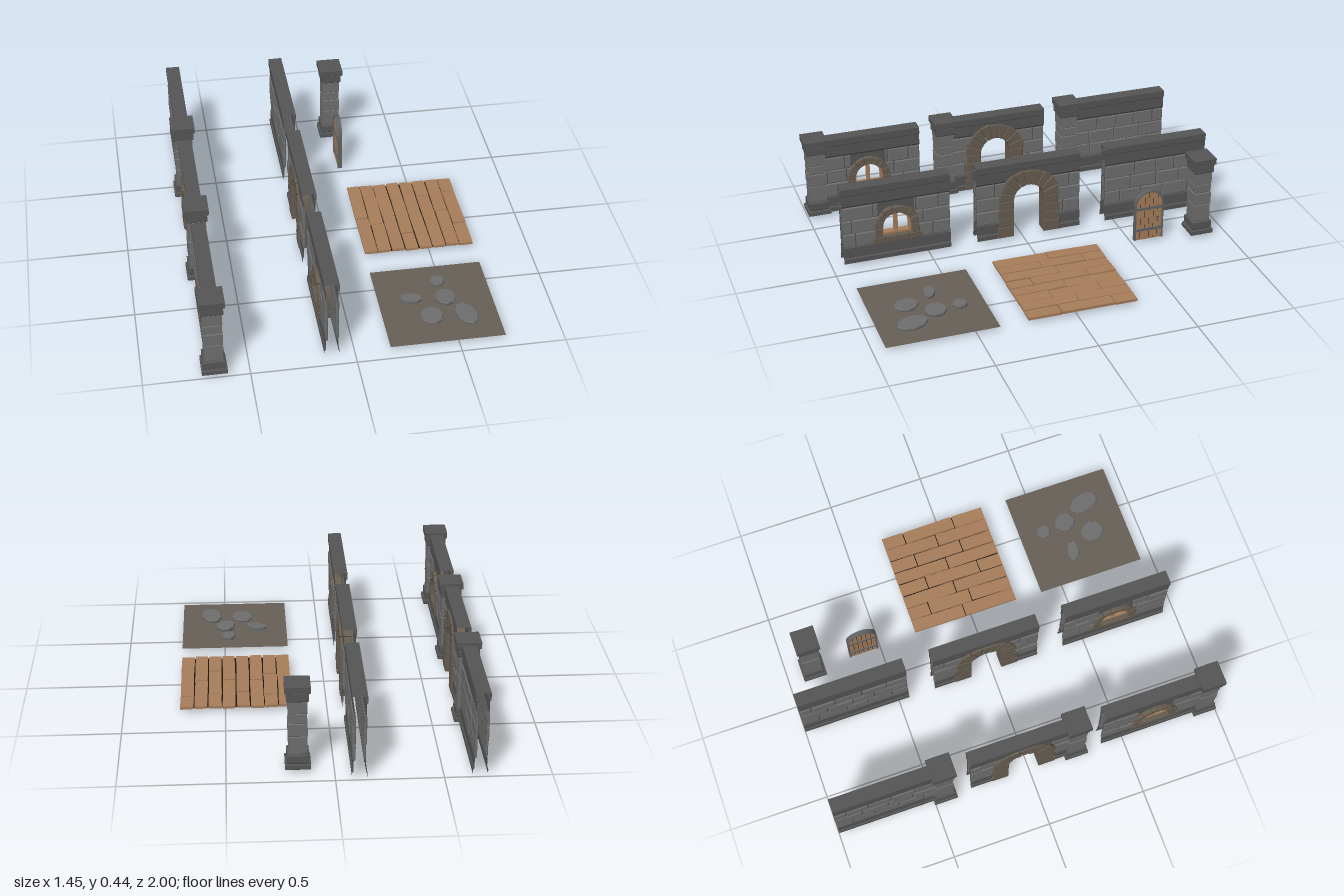
import * as THREE from 'three';

const mat = (color, side = THREE.FrontSide) => new THREE.MeshStandardMaterial({ color, flatShading: true, side });
const BRICK = mat(0x6e6e6e), TRIM = mat(0x555555, THREE.DoubleSide), EARTH = mat(0x665f57, THREE.DoubleSide);
const ARCH = mat(0x665c50), WOOD = mat(0xa67d5a), DARK = mat(0x1c150f, THREE.DoubleSide), IRON = mat(0x606366);
const L = 0.2775, CORE = 0.024; // half wall length, half core thickness

let seed = 7;
const rnd = (a, b) => {
  seed = (seed * 16807) % 2147483647;
  return a + (b - a) * seed / 2147483647;
};

function add(parent, name, geo, material, x = 0, y = 0, z = 0) {
  const m = new THREE.Mesh(geo, material);
  m.name = name;
  m.position.set(x, y, z);
  parent.add(m);
  return m;
}

const box = (parent, name, material, w, h, d, x, y, z) =>
  add(parent, name, new THREE.BoxGeometry(w, h, d), material, x, y, z);

const polygon = pts => new THREE.Shape(pts.map(p => new THREE.Vector2(...p)));

// Extrude a (-z, y) outline so that its thickness runs along x, centred
function slab(shape, depth, bevel = 0) {
  const g = new THREE.ExtrudeGeometry(shape, {
    depth: depth - 2 * bevel, curveSegments: 8, bevelEnabled: bevel > 0,
    bevelSize: bevel, bevelThickness: bevel, bevelOffset: -bevel, bevelSegments: 1
  });
  return g.translate(0, 0, bevel - depth / 2).rotateY(Math.PI / 2);
}

const rect = (w, h) => polygon([[-w / 2, -h / 2], [w / 2, -h / 2], [w / 2, h / 2], [-w / 2, h / 2]]);

// Open-ended strip: an (x, y) profile swept from z0 to z1
function sweep(profile, z0, z1) {
  const pos = [];
  for (let i = 0; i + 1 < profile.length; i++) {
    const [a, b] = [profile[i], profile[i + 1]];
    pos.push(...a, z0, ...b, z1, ...b, z0, ...a, z0, ...a, z1, ...b, z1);
  }
  const g = new THREE.BufferGeometry();
  g.setAttribute('position', new THREE.Float32BufferAttribute(pos, 3));
  g.computeVertexNormals();
  return g;
}

// Wedge stones set around a half circle
function archStones(parent, r0, r1, yc, n, depth) {
  for (let i = 0; i < n; i++) {
    const a = (i + 0.03) / n * Math.PI, b = (i + 0.97) / n * Math.PI, R = r1 + rnd(-0.004, 0.004);
    const at = (r, t) => [r * Math.cos(t), yc + r * Math.sin(t)];
    const s = polygon([at(r0, a), at(R, a), at(R, (a + b) / 2), at(R, b), at(r0, b), at(r0, (a + b) / 2)]);
    add(parent, 'archStone', slab(s, depth + rnd(-0.006, 0.002), 0.003), ARCH);
  }
}

// Arched outline: straight sides from y0, half circle above yc
function archOutline(path, r, yc, y0) {
  path.moveTo(-r, y0).lineTo(-r, yc).absarc(0, yc, r, Math.PI, 0, true).lineTo(r, y0);
  return path;
}

function archedFrame(r0, r1, yc, y0, depth) {
  const s = archOutline(new THREE.Shape(), r1, yc, y0);
  s.lineTo(r0, y0).lineTo(r0, yc).absarc(0, yc, r0, 0, Math.PI, false).lineTo(-r0, y0);
  return slab(s, depth);
}

function windowParts(wall) {
  const g = new THREE.Group();
  g.name = 'window';
  archStones(g, 0.076, 0.115, 0.185, 7, 0.08);
  for (const s of [-1, 1]) add(g, 'jambStone', slab(rect(0.038, 0.05), 0.078, 0.003), ARCH, 0, 0.16, s * 0.096);
  for (let i = -1.5; i < 2; i++) add(g, 'sillStone', slab(rect(0.061, 0.034), 0.08, 0.003), ARCH, 0, 0.121, i * 0.0625);
  add(g, 'windowFrame', archedFrame(0.066, 0.078, 0.185, 0.137, 0.034), WOOD);
  box(g, 'windowFrameBottom', WOOD, 0.034, 0.012, 0.14, 0, 0.143, 0);
  for (const s of [-1, 1]) box(g, 'mullion', WOOD, 0.03, 0.11, 0.007, 0, 0.197, s * 0.005);
  wall.add(g);
}

function archwayParts(wall) {
  const g = new THREE.Group();
  g.name = 'archway';
  archStones(g, 0.08, 0.162, 0.22, 9, 0.08);
  const ys = [0.015, 0.075, 0.125, 0.175, 0.22];
  for (const s of [-1, 1]) for (let i = 0; i < 4; i++) {
    const h = ys[i + 1] - ys[i], w = 0.082 + (i % 2 ? -0.006 : 0.004);
    add(g, 'jambStone', slab(rect(w, h), 0.08 - rnd(0, 0.004), 0.003), ARCH, 0, ys[i] + h / 2, s * (0.08 + w / 2));
  }
  wall.add(g);
}

function makeWall(kind, x, z) {
  const wall = new THREE.Group();
  wall.name = kind + 'Wall';
  wall.position.set(x, 0, z);
  const mirror = p => p.map(([a, b]) => [-a, b]).reverse();

  // Coping along the top, footing along the bottom
  const coping = [[0.035, 0.43], [0.035, 0.395], [0.029, 0.39], [0.029, 0.335], [CORE, 0.325]];
  const footing = [[CORE, 0.105], [0.029, 0.098], [0.029, 0.045], [0.035, 0.038], [0.035, 0.015]];
  add(wall, 'coping', sweep([...mirror(coping), ...coping], -L, L), TRIM);
  const spans = kind === 'arch' ? [[-L, -0.1], [0.1, L]] : [[-L, L]];
  for (const [a, b] of spans) for (const p of [footing, mirror(footing)])
    add(wall, 'footing', sweep(p, a, b), TRIM);

  // Core faces, cut out around any opening
  let face = polygon([[-L, 0.095], [L, 0.095], [L, 0.33], [-L, 0.33]]);
  if (kind === 'window') face.holes.push(archOutline(new THREE.Path(), 0.085, 0.185, 0.12));
  if (kind === 'arch') {
    face = new THREE.Shape().moveTo(-L, 0.33).lineTo(-L, 0.095).lineTo(-0.1, 0.095).lineTo(-0.1, 0.22);
    face.absarc(0, 0.22, 0.1, Math.PI, 0, true).lineTo(0.1, 0.095).lineTo(L, 0.095).lineTo(L, 0.33);
  }
  const half = kind === 'arch' ? 0.1 : 0.09;
  for (const s of [-1, 1]) {
    add(wall, 'wallFace', new THREE.ShapeGeometry(face, 8).rotateY(s * Math.PI / 2), TRIM, s * (CORE - 0.004));

    // Staggered bricks, split where they meet the opening
    for (let row = 0; row < 3; row++) {
      const y = 0.141 + row * 0.0745;
      let a = -L, b = -L + [0.09, 0.14, 0.06][row];
      while (a < L - 0.01) {
        if (L - b < 0.04) b = L;
        const parts = kind === 'plain' ? [[a, b]] : [[a, Math.min(b, -half)], [Math.max(a, half), b]];
        for (const [p, q] of parts) if (q - p > 0.012) {
          const d = rnd(0.009, 0.015);
          add(wall, 'brick', slab(rect(q - p - 0.005, 0.07), d, 0.003), BRICK, s * (CORE - 0.005 + d / 2), y, (p + q) / 2);
        }
        a = b;
        b += rnd(0.1, 0.15);
      }
    }
  }
  if (kind === 'window') windowParts(wall);
  if (kind === 'arch') archwayParts(wall);
  return wall;
}

function makePillar(x, z) {
  const g = new THREE.Group();
  g.name = 'pillar';
  g.position.set(x, 0, z);
  // Square blocks: bottom, top, width, chamfer
  const blocks = [[0.018, 0.042, 0.12, 0.002], [0.042, 0.092, 0.104, 0.007], [0.09, 0.182, 0.087, 0.004],
    [0.182, 0.25, 0.091, 0.004], [0.25, 0.299, 0.087, 0.004], [0.299, 0.364, 0.091, 0.004],
    [0.362, 0.41, 0.104, 0.006], [0.41, 0.445, 0.12, 0.002]];
  blocks.forEach(([y0, y1, w, c], i) => {
    const geo = slab(rect(w, w), y1 - y0, c).rotateZ(Math.PI / 2);
    add(g, i < 2 ? 'pillarBase' : i < 6 ? 'shaftBlock' : 'capital', geo, i > 1 && i < 6 ? BRICK : TRIM, 0, (y0 + y1) / 2, 0);
  });
  return g;
}

function makeDoor(x, z) {
  const g = new THREE.Group(), yc = 0.215, n = 6, r = 0.07;
  g.name = 'door';
  g.position.set(x, 0, z);
  const top = v => yc + Math.sqrt(Math.max(0, r * r - v * v));
  add(g, 'doorCore', slab(archOutline(new THREE.Shape(), r, yc, 0.018), 0.01), DARK);
  for (let i = 0; i < n; i++) {
    const a = -r + i * 2 * r / n + 0.0015, b = a + 2 * r / n - 0.003, m = (a + b) / 2;
    add(g, 'doorPlank', slab(polygon([[a, 0.018], [b, 0.018], [b, top(b)], [m, top(m)], [a, top(a)]]), 0.018), WOOD);
  }
  add(g, 'doorRim', archedFrame(0.07, 0.077, yc, 0.016, 0.024), IRON);
  for (const y of [0.075, 0.195]) box(g, 'doorStrap', IRON, 0.026, 0.014, 0.142, 0, y, 0);
  for (const s of [-1, 1]) add(g, 'doorHandle', new THREE.TorusGeometry(0.008, 0.0025, 5, 10).rotateY(Math.PI / 2), IRON, s * 0.012, 0.135, -0.045);
  return g;
}

function makeWoodFloor(x, z) {
  const g = new THREE.Group(), n = 8, w = 2 * L / n;
  g.name = 'woodFloor';
  g.position.set(x, 0, z);
  add(g, 'floorBacking', new THREE.PlaneGeometry(2 * L - 0.01, 2 * L - 0.01).rotateX(-Math.PI / 2), DARK, 0, 0.026, 0);
  for (let i = 0; i < n; i++) {
    let a = -L, b = -L + (i % 2 ? 0.13 : 0.27) + rnd(-0.02, 0.02);
    while (a < L) {
      if (L - b < 0.08) b = L;
      const p = box(g, 'plank', WOOD, w - rnd(0.003, 0.008), 0.014, b - a - 0.005, -L + (i + 0.5) * w, rnd(0.027, 0.032), (a + b) / 2);
      p.rotation.set(rnd(-0.012, 0.012), rnd(-0.015, 0.015), rnd(-0.05, 0.05));
      a = b;
      b += rnd(0.22, 0.3);
    }
  }
  return g;
}

function makeEarthFloor(x, z) {
  const g = new THREE.Group();
  g.name = 'earthFloor';
  g.position.set(x, 0, z);
  add(g, 'ground', new THREE.PlaneGeometry(2 * L, 2 * L).rotateX(-Math.PI / 2), EARTH, 0, 0.018, 0);
  // Flat stones: x, z, half width, half depth, turn, bottom, tilt
  const stones = [[0.48, 0.51, 0.036, 0.037, 0, 0.007, 0], [0.33, 0.62, 0.056, 0.031, -0.25, 0.008, 0.05],
    [0.495, 0.635, 0.052, 0.056, 0, 0.008, -0.04], [0.405, 0.755, 0.055, 0.062, 0.2, 0.003, 0.04],
    [0.57, 0.77, 0.052, 0.082, 0.25, 0.006, -0.04]];
  const profile = [[0, 0], [0.72, 0], [0.94, 0.3], [1, 0.75], [0.93, 1], [0, 1]].map(p => new THREE.Vector2(...p));
  for (const [sx, sz, a, b, turn, y, tilt] of stones) {
    const m = add(g, 'floorStone', new THREE.LatheGeometry(profile, 9), BRICK, sx - x, y, sz - z);
    m.scale.set(a, 0.029, b);
    m.rotation.set(0, turn, tilt);
  }
  return g;
}

export function createModel() {
  const model = new THREE.Group();
  model.name = 'castlePieces';
  // Two rows of walls, the outer row with a pillar at each front end
  const kinds = [['plain', -0.7225], ['arch', -0.03], ['window', 0.6625]];
  for (const [kind, z] of kinds) {
    model.add(makeWall(kind, -0.11, z), makeWall(kind, -0.665, z), makePillar(-0.665, z + L));
  }
  model.add(makePillar(0.168, -0.863), makeDoor(0.168, -0.5875), makeWoodFloor(0.446, -0.03), makeEarthFloor(0.446, 0.6625));
  return model;
}
